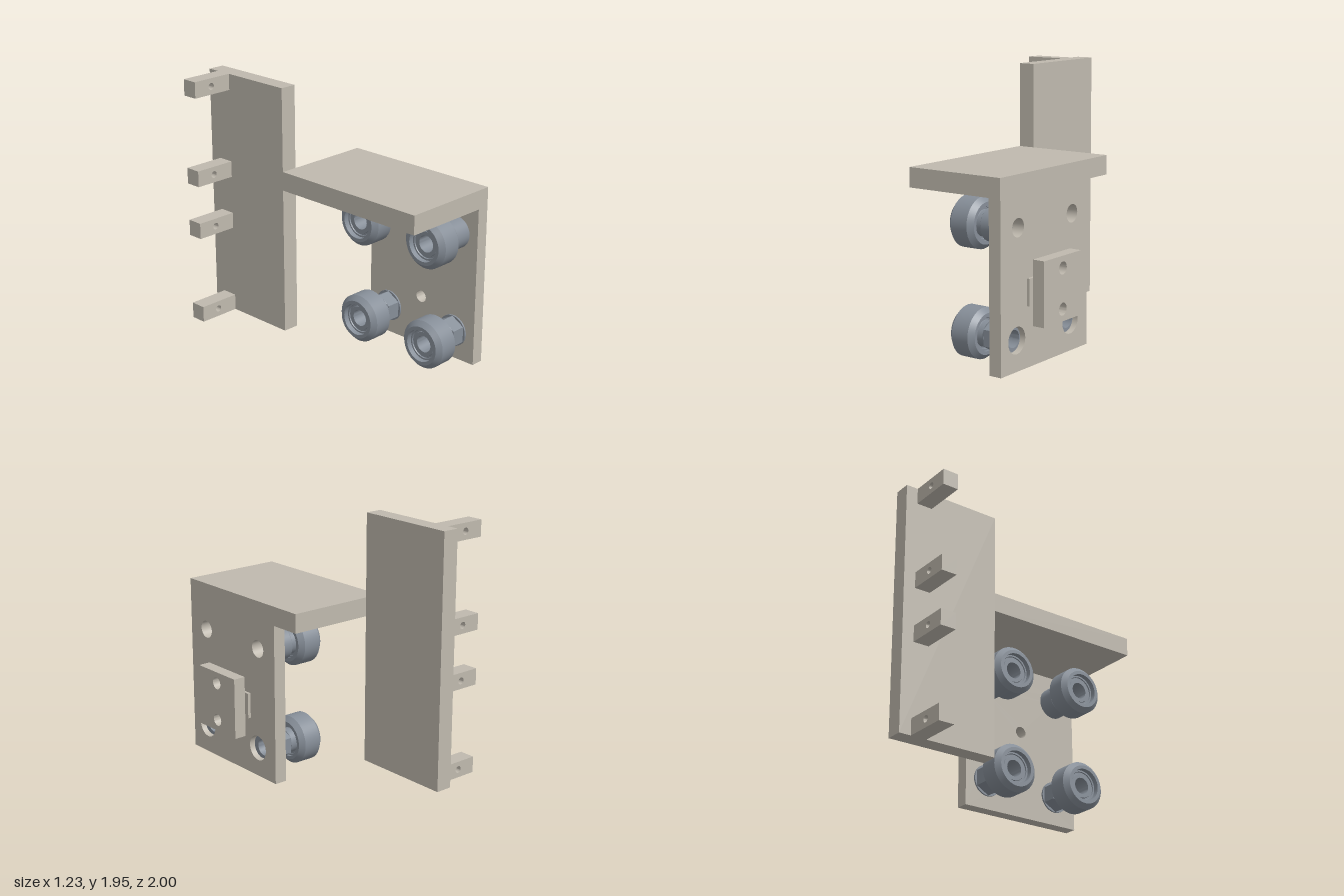
import * as THREE from 'three';
import { toCreasedNormals } from 'three/addons/utils/BufferGeometryUtils.js';

const plateMat = new THREE.MeshStandardMaterial({ color: 0xbfb9ae });
plateMat.name = 'warm grey plate';
const steelMat = new THREE.MeshStandardMaterial({ color: 0x868e98 });
steelMat.name = 'blue grey steel';

function add(parent, name, geometry, material) {
  const mesh = new THREE.Mesh(geometry, material);
  mesh.name = name;
  parent.add(mesh);
  return mesh;
}

// Box given by its limits on each axis
function box(x0, x1, y0, y1, z0, z1) {
  return new THREE.BoxGeometry(x1 - x0, y1 - y0, z1 - z0)
    .translate((x0 + x1) / 2, (y0 + y1) / 2, (z0 + z1) / 2);
}

function polygon(sides, radius, x = 0, y = 0) {
  const points = [];
  for (let i = 0; i < sides; i++) {
    const a = Math.PI / 2 + (i / sides) * Math.PI * 2;
    points.push(new THREE.Vector2(x + Math.cos(a) * radius, y + Math.sin(a) * radius));
  }
  return points;
}

function rectangle(x0, x1, y0, y1) {
  return [[x0, y0], [x1, y0], [x1, y1], [x0, y1]].map(([x, y]) => new THREE.Vector2(x, y));
}

// Outline with round holes [x, y, radius], extruded along z
function drilled(outline, holes, depth) {
  const shape = new THREE.Shape(outline);
  for (const [x, y, r] of holes) shape.holes.push(new THREE.Path(polygon(40, r, x, y)));
  const g = new THREE.ExtrudeGeometry(shape, { depth, bevelEnabled: false });
  return toCreasedNormals(g, 0.5);
}

// The same, extruded along x from x0 to x1; outline x runs along -z
function drilledX(outline, holes, x0, x1) {
  return drilled(outline, holes, x1 - x0).rotateY(Math.PI / 2).translate(x0, 0, 0);
}

// Closed profile of [radius, x] turned about the x axis
function turned(profile) {
  const points = [...profile, profile[0]].map(([r, x]) => new THREE.Vector2(r, x));
  return toCreasedNormals(new THREE.LatheGeometry(points, 48).rotateZ(-Math.PI / 2), 0.4);
}

const BORE = 0.062;

function makeWheel(y, z, eccentric) {
  const wheel = new THREE.Group();
  wheel.name = eccentric ? 'eccentricWheel' : 'fixedWheel';
  wheel.position.set(0, y, z);
  // Chamfered tyre, open in the middle
  add(wheel, 'tyre', turned([
    [0.12, 0.01], [0.145, 0.01], [0.18, 0.045], [0.18, 0.18], [0.145, 0.215], [0.12, 0.215],
  ]), steelMat);
  // Bearing set back from the tyre faces
  add(wheel, 'bearing', turned([
    [BORE, 0.05], [0.09, 0.05], [0.093, 0.058], [0.105, 0.058], [0.108, 0.05], [0.12, 0.05],
    [0.12, 0.195], [0.108, 0.195], [0.105, 0.187], [0.093, 0.187], [0.09, 0.195], [BORE, 0.195],
  ]), steelMat);
  add(wheel, 'washer', turned([[BORE, 0.195], [0.092, 0.195], [0.092, 0.245], [BORE, 0.245]]), steelMat);
  if (eccentric) {
    // Hexagonal nut with a chamfered nose and an offset boss in the plate
    add(wheel, 'nutNose', turned([[BORE, 0.243], [0.098, 0.243], [0.106, 0.256], [BORE, 0.256]]), steelMat);
    add(wheel, 'hexNut', drilledX(polygon(6, 0.116), [[0, 0, BORE]], 0.255, 0.362), steelMat);
    add(wheel, 'nutFlange', turned([[BORE, 0.362], [0.118, 0.362], [0.118, 0.375], [BORE, 0.375]]), steelMat);
    add(wheel, 'offsetBoss', drilledX(polygon(40, 0.088, -0.016, 0), [[0, 0, BORE]], 0.375, 0.43), steelMat);
  } else {
    add(wheel, 'roundSpacer', turned([
      [BORE, 0.243], [0.113, 0.243], [0.118, 0.248], [0.118, 0.375], [BORE, 0.375],
    ]), steelMat);
  }
  return wheel;
}

export function createModel() {
  const model = new THREE.Group();
  model.name = 'wheeledBracket';

  // Tall rear plate with its drilled tabs
  add(model, 'rearPlate', box(-0.3, -0.175, 0.09, 1.95, -1, -0.24), plateMat);
  for (const y of [0.15, 0.82, 1.225, 1.89]) {
    const tab = drilled(rectangle(-0.62, -0.3, -0.06, 0.06), [[-0.47, 0, 0.025]], 0.12);
    add(model, 'tab', tab, plateMat).position.set(0, y, -0.91);
  }

  // Horizontal plate joining rear and side plates
  add(model, 'topPlate', box(-0.3, 0.47, 1.195, 1.335, -0.24, 1), plateMat);

  // Side plate with wheel and block holes
  add(model, 'sidePlate', drilledX(rectangle(-1, 0, 0, 1.195), [
    [-0.81, 0.98, 0.065], [-0.19, 0.98, 0.065],
    [-0.826, 0.217, 0.094], [-0.206, 0.217, 0.094],
    [-0.5, 0.67, 0.045], [-0.5, 0.385, 0.045],
  ], 0.375, 0.47), plateMat);

  // Raised rib and the separate block facing it
  add(model, 'rib', box(0.47, 0.493, 0.43, 0.62, 0.285, 0.715), plateMat);
  add(model, 'clampBlock', drilledX(rectangle(-0.715, -0.285, 0.3, 0.755),
    [[-0.5, 0.67, 0.045], [-0.5, 0.385, 0.045]], 0.52, 0.613), plateMat);

  // Four wheels, the lower pair on offset nuts
  for (const z of [0.81, 0.19]) {
    model.add(makeWheel(0.98, z, false));
    model.add(makeWheel(0.217, z, true));
  }
  return model;
}
